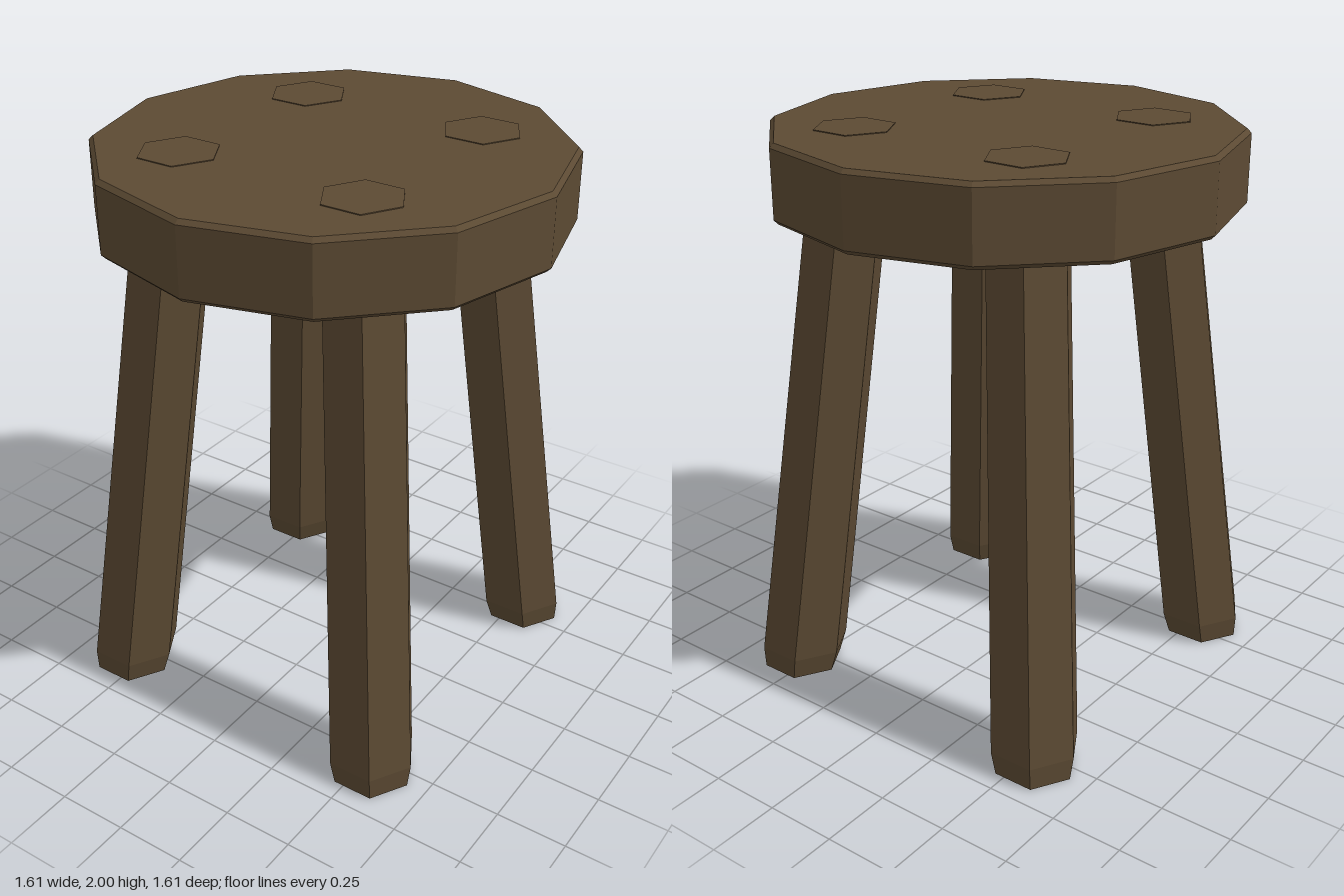
import * as THREE from 'three';

const wood = new THREE.MeshStandardMaterial({ color: 0x5c4a33, flatShading: true });

// Faceted solid turned from [radius, height] points
function turned(points, sides) {
  return new THREE.LatheGeometry(points.map(([r, y]) => new THREE.Vector2(r, y)), sides);
}

// Hexagonal leg whose level cross-sections slide outwards towards the floor
function legGeometry(sx, sz) {
  const geo = turned([[0, 0], [0.143, 0], [0.158, 0.08], [0.14, 2], [0, 2]], 6);
  geo.rotateY(Math.PI / 6);
  const p = geo.attributes.position;
  for (let i = 0; i < p.count; i++) {
    const y = p.getY(i);
    p.setX(i, p.getX(i) + sx * (0.537 - 0.094 * y));
    p.setZ(i, p.getZ(i) + sz * (0.555 - 0.098 * y));
  }
  geo.computeVertexNormals();
  return geo;
}

export function createModel() {
  const group = new THREE.Group();
  group.name = 'stool';

  // Twelve-sided seat with a narrow bevel on both rims
  const seat = new THREE.Mesh(
    turned([[0, 1.735], [0.788, 1.735], [0.803, 1.75], [0.803, 1.982], [0.788, 1.997], [0, 1.997]], 12),
    wood
  );
  seat.name = 'seat';
  group.add(seat);

  // Four splayed legs, running through the seat
  for (const [end, sz] of [['front', 1], ['back', -1]]) {
    for (const [side, sx] of [['Left', 1], ['Right', -1]]) {
      const leg = new THREE.Mesh(legGeometry(sx, sz), wood);
      leg.name = `${end}${side}Leg`;
      group.add(leg);
    }
  }
  return group;
}
